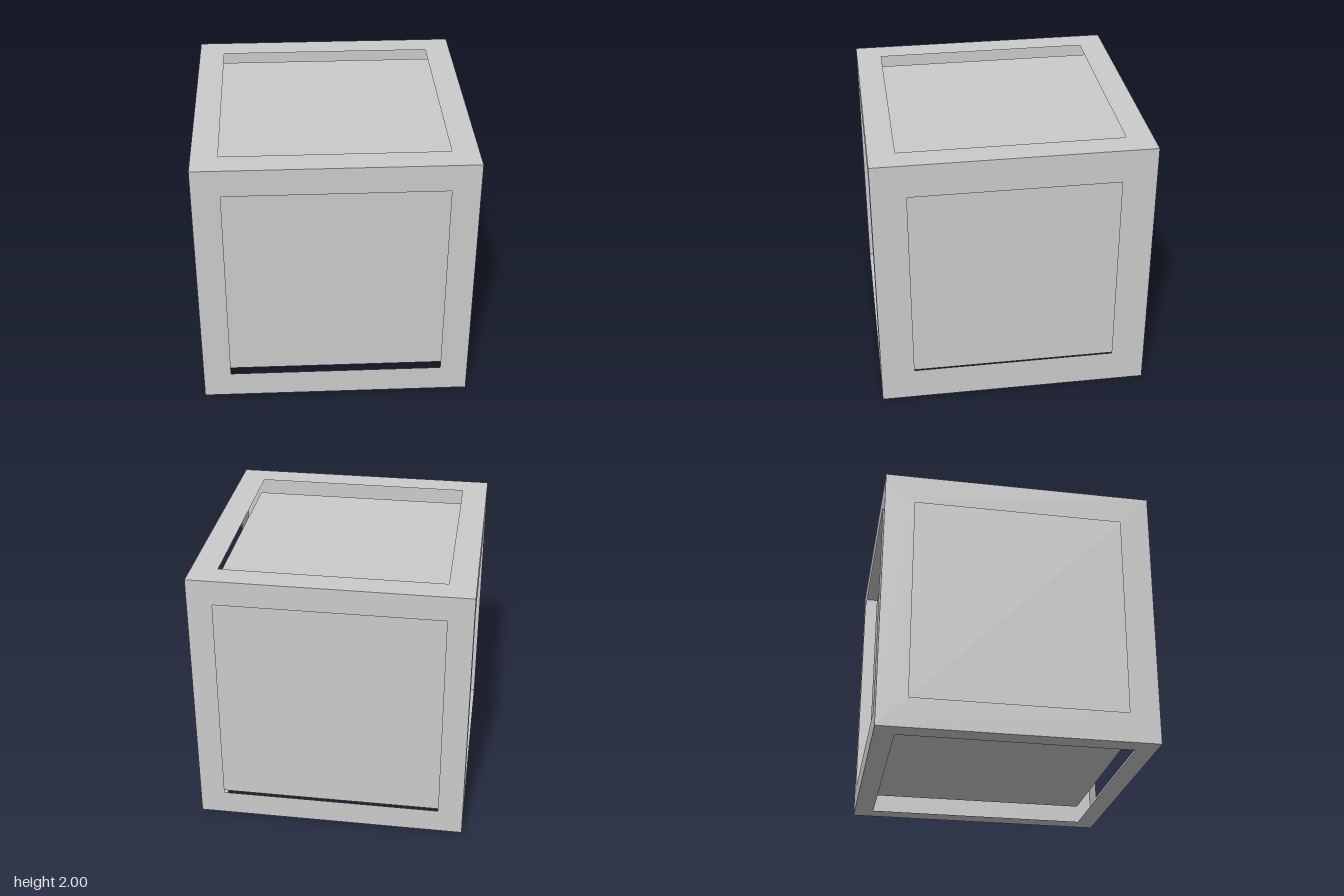
import * as THREE from 'three';

// Each side of the shell: rotation and half size of its square opening
const SIDES = [
  { name: 'front', rot: [0, 0, 0], half: 0.795 },
  { name: 'back', rot: [0, Math.PI, 0], half: 0.816 },
  { name: 'right', rot: [0, Math.PI / 2, 0], half: 0.752 },
  { name: 'left', rot: [0, -Math.PI / 2, 0], half: 0.778 },
  { name: 'top', rot: [-Math.PI / 2, 0, 0], half: 0.808 },
  { name: 'bottom', rot: [Math.PI / 2, 0, 0], half: 0.852 },
];

function square(target, h) {
  target.moveTo(-h, -h);
  target.lineTo(h, -h);
  target.lineTo(h, h);
  target.lineTo(-h, h);
  target.closePath();
  return target;
}

export function createModel() {
  const model = new THREE.Group();
  model.name = 'cubeInOpenShell';

  // thin outer shell: six square frames
  const shell = new THREE.Group();
  shell.name = 'outerShell';
  shell.position.y = 1;
  const shellMaterial = new THREE.MeshStandardMaterial({ color: 0xcccccc, side: THREE.DoubleSide });
  for (const { name, rot, half } of SIDES) {
    const outline = square(new THREE.Shape(), 1);
    outline.holes.push(square(new THREE.Path(), half));
    const frame = new THREE.Mesh(new THREE.ShapeGeometry(outline).translate(0, 0, 1), shellMaterial);
    frame.name = name + 'Frame';
    frame.rotation.set(...rot);
    shell.add(frame);
  }

  // closed cube floating inside, slightly off centre
  const core = new THREE.Mesh(
    new THREE.BoxGeometry(1.75, 1.74, 1.75),
    new THREE.MeshStandardMaterial({ color: 0xcccccc })
  );
  core.name = 'innerCube';
  core.position.set(-0.03, 1, -0.03);

  model.add(shell, core);
  return model;
}
